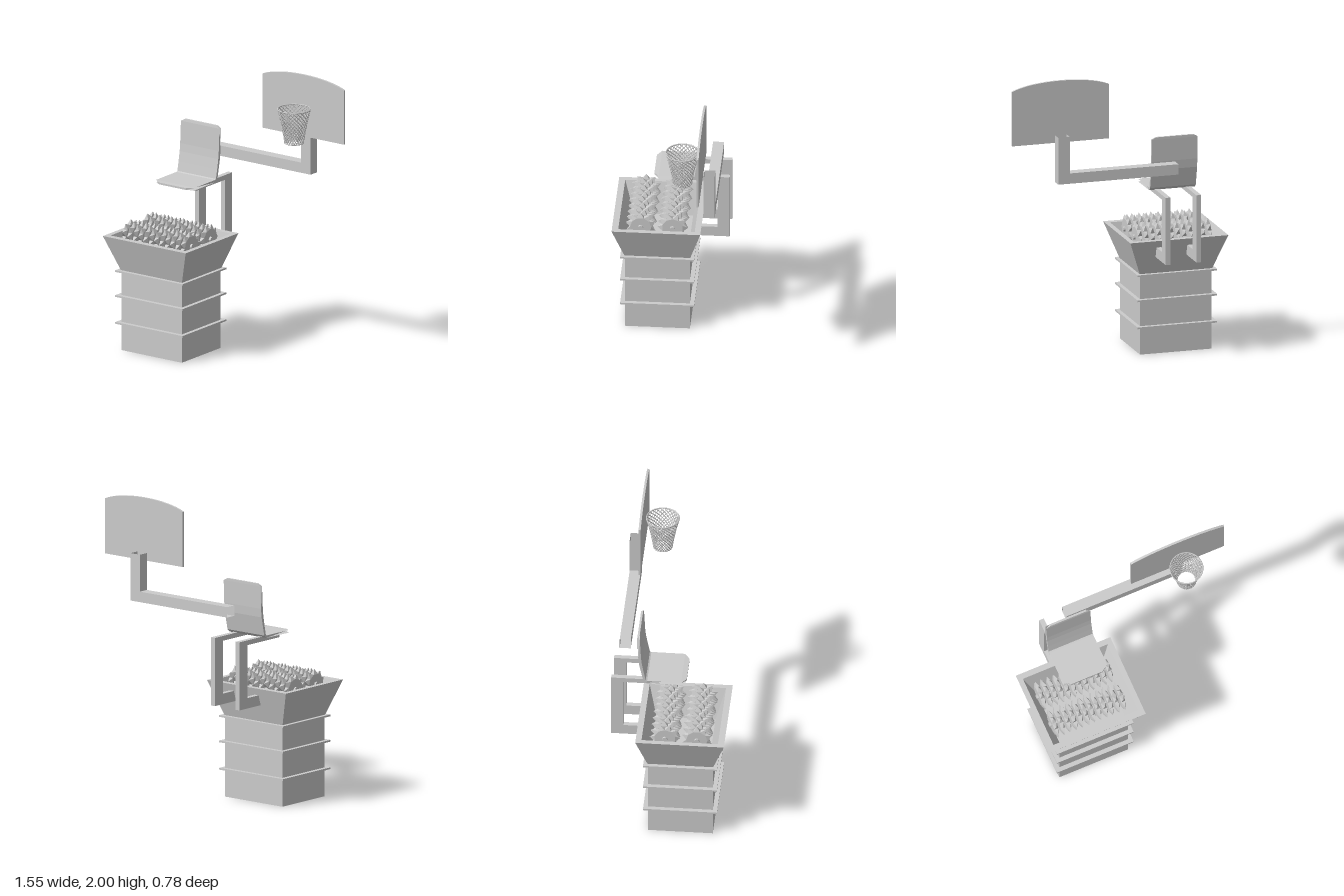
import * as THREE from 'three';
import { mergeGeometries } from 'three/addons/utils/BufferGeometryUtils.js';

const grey = new THREE.MeshStandardMaterial({ color: 0xcccccc });
const greyFlat = new THREE.MeshStandardMaterial({ color: 0xcccccc, flatShading: true });
const greyOpen = new THREE.MeshStandardMaterial({ color: 0xcccccc, flatShading: true, side: THREE.DoubleSide });

function add(parent, name, geometry, material = greyFlat) {
  const mesh = new THREE.Mesh(geometry, material);
  mesh.name = name;
  parent.add(mesh);
  return mesh;
}

// Box from its extents on each axis
function box(x0, x1, y0, y1, z0, z1) {
  return new THREE.BoxGeometry(x1 - x0, y1 - y0, z1 - z0)
    .translate((x0 + x1) / 2, (y0 + y1) / 2, (z0 + z1) / 2);
}

// Skin over four-cornered rings, with an optional cap on the last ring
function loft(rings, capEnd) {
  const pos = [];
  const quad = (a, b, c, d) => pos.push(...a, ...b, ...c, ...a, ...c, ...d);
  for (let k = 0; k + 1 < rings.length; k++) {
    for (let i = 0; i < 4; i++) {
      const j = (i + 1) % 4;
      quad(rings[k][i], rings[k][j], rings[k + 1][j], rings[k + 1][i]);
    }
  }
  if (capEnd) quad(...rings[rings.length - 1]);
  const g = new THREE.BufferGeometry();
  g.setAttribute('position', new THREE.Float32BufferAttribute(pos, 3));
  g.computeVertexNormals();
  return g;
}

// Horizontal rectangle at height y
const level = (x0, x1, z0, z1, y) => [[x0, y, z1], [x1, y, z1], [x1, y, z0], [x0, y, z0]];

// Toothed cutter disc: a hub with a ring of pyramid teeth, axis along x
function cutterGeometry(teeth = 10, hubR = 0.072, tipR = 0.104, width = 0.03) {
  const step = (Math.PI * 2) / teeth;
  const apothem = hubR * Math.cos(step / 2);
  const chord = 2 * hubR * Math.sin(step / 2);
  const parts = [new THREE.CylinderGeometry(hubR, hubR, width, teeth, 1, false, step / 2)
    .rotateZ(Math.PI / 2).rotateX(Math.PI / 2)];
  for (let i = 0; i < teeth; i++) {
    parts.push(new THREE.ConeGeometry(Math.SQRT1_2, tipR - apothem, 4, 1)
      .rotateY(Math.PI / 4)
      .scale(width, 1, chord)
      .translate(0, (tipR + apothem) / 2, 0)
      .rotateX(i * step));
  }
  return mergeGeometries(parts);
}

function createBin() {
  const bin = new THREE.Group();
  bin.name = 'bin';
  add(bin, 'binBody', box(-0.68, -0.173, 0, 0.56, -0.13, 0.31));
  [0.193, 0.382, 0.557].forEach((y) =>
    add(bin, 'binRib', box(-0.71, -0.146, y - 0.006, y + 0.006, -0.16, 0.34)));
  add(bin, 'hopper', loft([
    level(-0.68, -0.173, -0.13, 0.31, 0.555),
    level(-0.775, -0.08, -0.207, 0.393, 0.805),
    level(-0.74, -0.115, -0.167, 0.35, 0.805),
    level(-0.665, -0.188, -0.115, 0.285, 0.59),
  ], true));

  // Two rows of cutters, each disc turned a little from its neighbour
  const cutter = cutterGeometry();
  [0.203, -0.013].forEach((z, row) => {
    add(bin, 'cutterShaft', new THREE.CylinderGeometry(0.018, 0.018, 0.55, 8)
      .rotateZ(Math.PI / 2).translate(-0.433, 0.792, z));
    for (let i = 0; i < 12; i++) {
      const disc = add(bin, 'cutterDisc', cutter);
      disc.position.set(-0.68 + i * 0.0447, 0.792, z);
      disc.rotation.x = (i * 0.23 + row * 0.3) % 0.63;
    }
  });
  return bin;
}

function createChair() {
  const chair = new THREE.Group();
  chair.name = 'chair';

  // Bent shell from a side profile [z, y], underside first
  const profile = [
    [0.118, 1.15], [0.085, 1.148], [-0.15, 1.15], [-0.172, 1.17], [-0.185, 1.23], [-0.2, 1.3],
    [-0.206, 1.36], [-0.212, 1.515], [-0.212, 1.532], [-0.198, 1.532], [-0.195, 1.515],
    [-0.187, 1.36], [-0.181, 1.305], [-0.168, 1.235], [-0.155, 1.172], [-0.145, 1.167],
    [0.085, 1.166], [0.118, 1.163],
  ];
  const half = 0.162;
  const shell = new THREE.ExtrudeGeometry(
    new THREE.Shape(profile.map(([z, y]) => new THREE.Vector2(-z, y))),
    { depth: 2 * half, bevelEnabled: false });
  shell.translate(0, 0, -half).rotateY(Math.PI / 2);
  // Narrow the front lip and the top edge to cut their corners
  const p = shell.attributes.position;
  for (let i = 0; i < p.count; i++) {
    if (p.getZ(i) > 0.1) p.setX(i, p.getX(i) * 0.7);
    else if (p.getY(i) > 1.525) p.setX(i, p.getX(i) * 0.82);
  }
  shell.translate(-0.393, 0, 0).computeVertexNormals();
  add(chair, 'seatShell', shell);

  // C-shaped brackets carrying the seat from the hopper
  const side = [
    [0.025, 1.155], [-0.392, 1.155], [-0.392, 0.685], [-0.155, 0.685],
    [-0.175, 0.757], [-0.308, 0.757], [-0.308, 1.122], [0.025, 1.122],
  ];
  const bracket = new THREE.ExtrudeGeometry(
    new THREE.Shape(side.map(([z, y]) => new THREE.Vector2(-z, y))),
    { depth: 0.034, bevelEnabled: false }).rotateY(Math.PI / 2);
  [-0.522, -0.304].forEach((x) => { add(chair, 'seatBracket', bracket).position.x = x; });
  return chair;
}

function createHoop() {
  const hoop = new THREE.Group();
  hoop.name = 'hoop';

  // Open-ended square tube with a mitred corner
  const [zb, zf] = [-0.347, -0.272];
  const section = (xo, yo, xi, yi) => [[xo, yo, zf], [xo, yo, zb], [xi, yi, zb], [xi, yi, zf]];
  add(hoop, 'hoopArm', loft([
    section(-0.375, 1.298, -0.375, 1.37),
    section(0.476, 1.298, 0.394, 1.37),
    section(0.476, 1.625, 0.394, 1.625),
  ], false), greyOpen);

  // Backboard with a bowed top
  const board = new THREE.Shape();
  board.moveTo(0.09, 1.568);
  board.lineTo(0.775, 1.568);
  board.lineTo(0.775, 1.948);
  board.bezierCurveTo(0.62, 2.017, 0.245, 2.017, 0.09, 1.948);
  add(hoop, 'backboard', new THREE.ExtrudeGeometry(board,
    { depth: 0.015, bevelEnabled: false, curveSegments: 16 }).translate(0, 0, -0.261));

  // Net of crossing helical cords between a rim and a lower ring
  const net = new THREE.Group();
  net.name = 'net';
  net.position.set(0.445, 0, -0.127);
  hoop.add(net);
  const top = 1.79, bottom = 1.553, cords = 24, twist = 2.3;
  const radius = (t) => 0.111 - 0.062 * t + 0.014 * t * t;
  for (const turn of [1, -1]) {
    const points = [];
    for (let k = 0; k <= 20; k++) {
      const t = k / 20, a = turn * twist * t, r = radius(t);
      points.push(new THREE.Vector3(r * Math.cos(a), top + (bottom - top) * t, r * Math.sin(a)));
    }
    const cord = new THREE.TubeGeometry(new THREE.CatmullRomCurve3(points), 28, 0.0032, 5);
    for (let i = 0; i < cords; i++) {
      add(net, 'netCord', cord, grey).rotation.y = (i / cords) * Math.PI * 2;
    }
  }
  [['rim', top, radius(0)], ['netLowerRing', bottom, radius(1)]].forEach(([name, y, r]) =>
    add(net, name, new THREE.TorusGeometry(r, 0.004, 8, 48).rotateX(Math.PI / 2).translate(0, y, 0), grey));
  return hoop;
}

export function createModel() {
  const model = new THREE.Group();
  model.name = 'hoopChairShredder';
  model.add(createBin(), createChair(), createHoop());
  return model;
}
